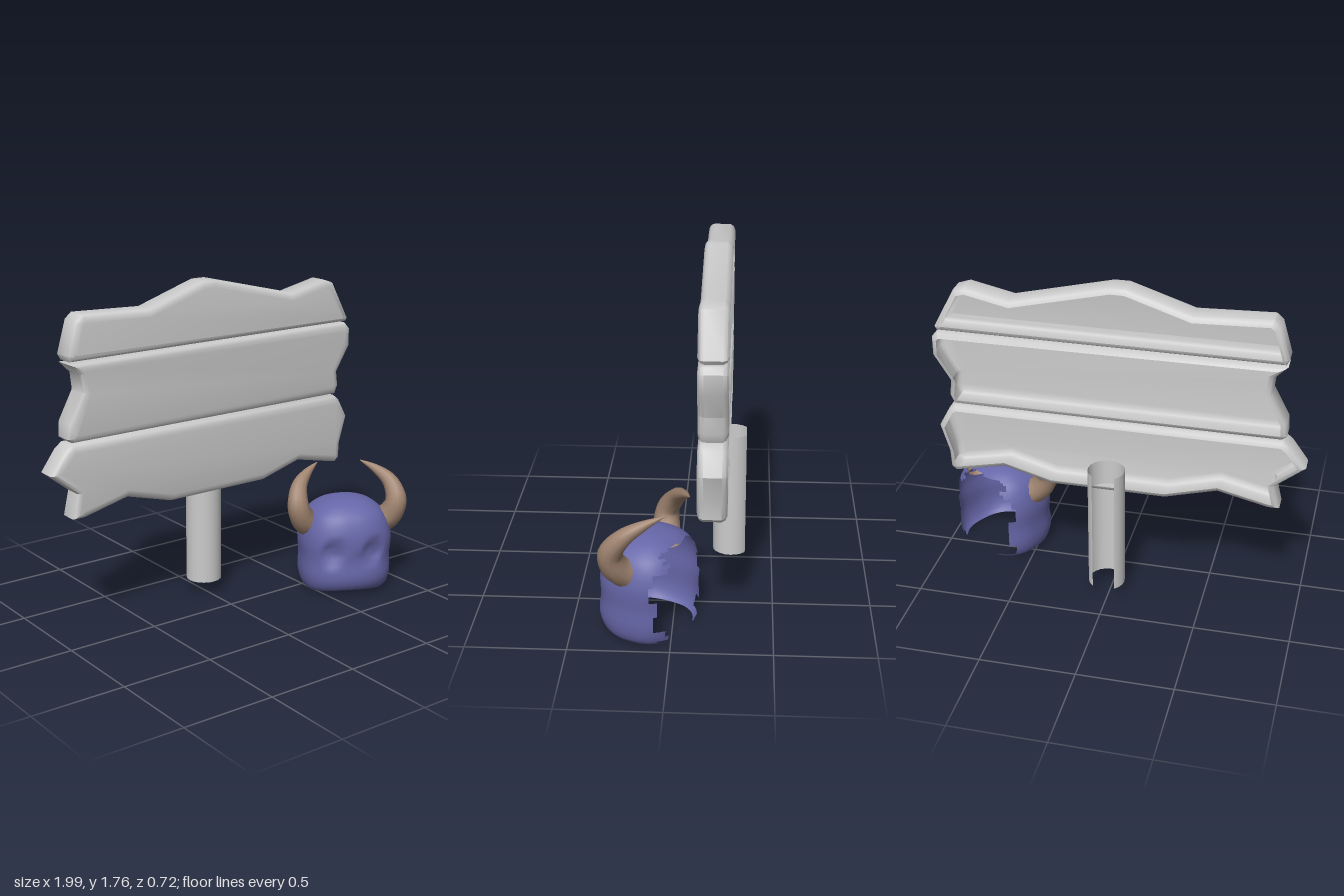
import * as THREE from 'three';
import { toCreasedNormals } from 'three/addons/utils/BufferGeometryUtils.js';

const material = (color) => new THREE.MeshStandardMaterial({ color, side: THREE.DoubleSide });
const grey = material(0xcccccc);
const purple = material(0x6666a8);
const brown = material(0xa08470);

function addMesh(parent, name, geometry, mat) {
  const mesh = new THREE.Mesh(geometry, mat);
  mesh.name = name;
  parent.add(mesh);
  return mesh;
}

function indexed(positions, index) {
  const g = new THREE.BufferGeometry();
  g.setAttribute('position', new THREE.Float32BufferAttribute(positions, 3));
  g.setIndex(index);
  return g;
}

// Outline moved inwards by d along mitred corners (counter-clockwise outline)
function inset(points, d) {
  const n = points.length;
  return points.map((p, i) => {
    const a = p.clone().sub(points[(i + n - 1) % n]).normalize();
    const b = points[(i + 1) % n].clone().sub(p).normalize();
    const m = new THREE.Vector2(-a.y - b.y, a.x + b.x).normalize();
    const miter = Math.max(0.6, -m.x * a.y + m.y * a.x);
    return p.clone().addScaledVector(m, d / miter);
  });
}

// Plank: rounded shell with a closed front and an open back
function plankGeometry(outline) {
  const points = outline.map(([x, y]) => new THREE.Vector2(x, y));
  if (THREE.ShapeUtils.area(points) < 0) points.reverse();
  const n = points.length;
  const layers = [[-0.268, 0.03], [-0.258, 0.01], [-0.24, 0], [-0.152, 0], [-0.135, 0.006], [-0.125, 0.02], [-0.121, 0.04]];
  const pos = [], index = [];
  layers.forEach(([z, d], k) => {
    inset(points, d).forEach((p) => pos.push(p.x, p.y, z));
    if (k === 0) return;
    for (let i = 0; i < n; i++) {
      const j = (i + 1) % n, a = (k - 1) * n, b = k * n;
      index.push(a + i, a + j, b + j, a + i, b + j, b + i);
    }
  });
  const top = (layers.length - 1) * n;
  for (const f of THREE.ShapeUtils.triangulateShape(inset(points, 0.04), [])) {
    index.push(...f.map((v) => v + top));
  }
  return toCreasedNormals(indexed(pos, index), 0.75);
}

// Horn base centre, on the head's left
const hornBase = new THREE.Vector3(0.2, 0.37, 0.02);

// Head: stacked rounded rings with eye dents, horn openings and a broken back
function headGeometry() {
  const profile = new THREE.CatmullRomCurve3([
    [0.84, 0.01], [0.93, 0.04], [0.985, 0.11], [0.97, 0.2], [1, 0.29], [0.96, 0.36],
    [0.85, 0.43], [0.63, 0.485], [0.33, 0.518], [0.002, 0.527],
  ].map(([r, y]) => new THREE.Vector3(r, y, 0)));
  const cols = 64, rows = 34, pos = [], index = [];
  const power = (v) => Math.sign(v) * Math.pow(Math.abs(v), 2 / 2.4);
  for (let k = 0; k <= rows; k++) {
    const { x: r, y } = profile.getPointAt(k / rows);
    for (let i = 0; i < cols; i++) {
      const t = (i / cols) * Math.PI * 2;
      const u = 0.26 * r * power(Math.cos(t));
      let f = 0.23 * r * power(Math.sin(t));
      if (f > 0) {
        // eye sockets and a slightly raised jaw line
        const e = Math.hypot(Math.abs(u) - 0.11, y - 0.26) / 0.058;
        f -= 0.03 * Math.exp(-Math.pow(e, 6));
        f += 0.012 * Math.exp(-Math.pow((y - 0.1) / 0.07, 2)) * Math.sin(t);
      }
      const lift = k < 8 ? 0.025 * (1 - k / 8) * Math.max(0, Math.sin(t)) ** 2 : 0;
      pos.push(u, Math.max(0, y - 0.01 + lift), f);
    }
  }
  let seed = 7;
  const random = () => (seed = (seed * 16807) % 2147483647) / 2147483647;
  const chips = Array.from({ length: 32 }, random);
  const corner = new THREE.Vector3(), mid = new THREE.Vector3();
  for (let k = 0; k < rows; k++) {
    for (let i = 0; i < cols; i++) {
      const j = (i + 1) % cols;
      const a = k * cols + i, b = k * cols + j, c = b + cols, d = a + cols;
      mid.set(0, 0, 0);
      for (const v of [a, b, c, d]) mid.add(corner.fromArray(pos, v * 3));
      mid.multiplyScalar(0.25);
      const chip = chips[(k >> 1) % 16 + (mid.x > 0 ? 16 : 0)];
      const broken = mid.z < -0.185 + 0.06 * chip;
      mid.x = Math.abs(mid.x);
      if (broken || mid.distanceTo(hornBase) < 0.055) continue;
      index.push(a, d, b, d, c, b);
    }
  }
  const g = indexed(pos, index);
  g.computeVertexNormals();
  return g;
}

// Horn: tube tapering along a curve, open at its base
function hornGeometry(side) {
  const curve = new THREE.CatmullRomCurve3([
    [0.19, 0.355, 0.015], [0.25, 0.41, 0.05], [0.28, 0.49, 0.06],
    [0.262, 0.58, 0.0], [0.2, 0.635, -0.075], [0.125, 0.67, -0.15],
  ].map(([x, y, z]) => new THREE.Vector3(x * side, y, z)));
  const steps = 20, sides = 12;
  const g = new THREE.TubeGeometry(curve, steps, 1, sides);
  const p = g.attributes.position, v = new THREE.Vector3();
  for (let i = 0; i < p.count; i++) {
    const t = Math.floor(i / (sides + 1)) / steps;
    const centre = curve.getPointAt(t);
    const radius = 0.002 + 0.073 * Math.pow(1 - Math.pow(t, 1.5), 0.95);
    v.fromBufferAttribute(p, i).sub(centre).multiplyScalar(radius).add(centre);
    p.setXYZ(i, v.x, v.y, v.z);
  }
  return g;
}

export function createModel() {
  const model = new THREE.Group();
  model.name = 'signWithHornedHead';

  // Sign board: three uneven planks
  const planks = {
    topPlank: [
      [-0.87, 1.44], [-0.885, 1.47], [-0.835, 1.64], [-0.8, 1.67], [-0.41, 1.655], [-0.08, 1.763],
      [0, 1.763], [0.51, 1.64], [0.74, 1.69], [0.8, 1.67], [0.912, 1.46], [0.9, 1.44],
    ],
    middlePlank: [
      [-0.88, 1.43], [-0.82, 1.37], [-0.81, 1.28], [-0.89, 1.13], [-0.895, 1.05], [-0.87, 1.03],
      [0.83, 1.03], [0.852, 1.08], [0.842, 1.16], [0.93, 1.3], [0.93, 1.4], [0.9, 1.432],
    ],
    bottomPlank: [
      [-0.88, 1.022], [-0.92, 0.99], [-1, 0.88], [-0.85, 0.76], [-0.88, 0.63], [-0.82, 0.63], [-0.56, 0.69],
      [-0.29, 0.615], [0.32, 0.615], [0.57, 0.685], [0.84, 0.625], [0.87, 0.65],
      [0.875, 0.74], [0.92, 0.89], [0.86, 1.0], [0.83, 1.022],
    ],
  };
  const board = new THREE.Group();
  board.name = 'signBoard';
  for (const [name, outline] of Object.entries(planks)) {
    addMesh(board, name, plankGeometry(outline), grey);
  }
  model.add(board);

  // Post: hollow tube with a slot along its back
  const slot = 0.65;
  const postShape = new THREE.CylinderGeometry(0.097, 0.097, 0.685, 16, 1, true, Math.PI + slot, Math.PI * 2 - slot * 2);
  addMesh(model, 'post', postShape, grey).position.set(0.015, 0.412, -0.277);

  // Horned head leaning beside the post, turned towards it
  const head = new THREE.Group();
  head.name = 'hornedHead';
  head.position.set(0.708, 0, 0.11);
  head.rotation.y = -0.455;
  addMesh(head, 'headShell', headGeometry(), purple);
  addMesh(head, 'leftHorn', hornGeometry(1), brown);
  addMesh(head, 'rightHorn', hornGeometry(-1), brown);
  model.add(head);

  return model;
}
